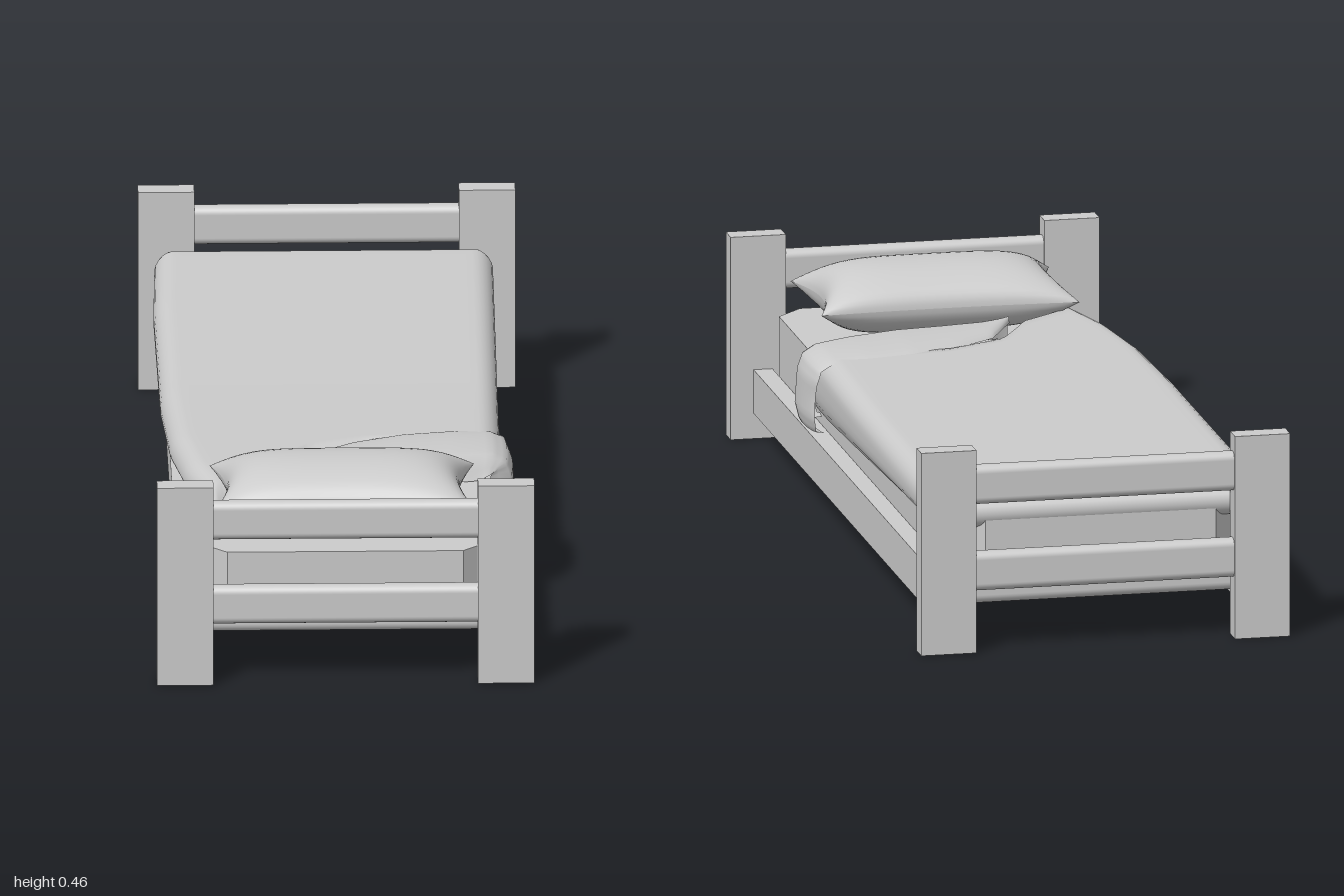
import * as THREE from 'three';
import { mergeGeometries } from 'three/addons/utils/BufferGeometryUtils.js';
import { RoundedBoxGeometry } from 'three/addons/geometries/RoundedBoxGeometry.js';

const wood = new THREE.MeshStandardMaterial({ color: 0xcccccc });
const cloth = new THREE.MeshStandardMaterial({ color: 0xcccccc, side: THREE.DoubleSide });
const { lerp, clamp, smoothstep } = THREE.MathUtils;

// Piecewise-linear lookup in [[key, value, ...], ...]; returns one column
function table(rows, t, col = 1) {
  let i = 0;
  while (i < rows.length - 2 && t > rows[i + 1][0]) i++;
  const [a, b] = [rows[i], rows[i + 1]];
  return lerp(a[col], b[col], clamp((t - a[0]) / (b[0] - a[0]), 0, 1));
}

// Smooth sheet from fn(u, v) -> [x, y, z], u running along +x and v along +z
function sheet(fn, nu, nv) {
  const pos = [], index = [];
  for (let j = 0; j <= nv; j++)
    for (let i = 0; i <= nu; i++) {
      pos.push(...fn(i / nu, j / nv));
      if (i < nu && j < nv) {
        const a = j * (nu + 1) + i, c = a + nu + 1;
        index.push(a, c, a + 1, a + 1, c, c + 1);
      }
    }
  const g = new THREE.BufferGeometry();
  g.setAttribute('position', new THREE.Float32BufferAttribute(pos, 3));
  g.setIndex(index);
  g.computeVertexNormals();
  return g;
}

// Mattress: slab with cut corners
function mattressGeometry() {
  const x = 0.317, z = 0.947, c = 0.06;
  const corners = [[x, z - c], [x - c, z], [c - x, z], [-x, z - c], [-x, c - z], [c - x, -z], [x - c, -z], [x, c - z]];
  const shape = new THREE.Shape(corners.map(p => new THREE.Vector2(...p)));
  return new THREE.ExtrudeGeometry(shape, { depth: 0.158, bevelEnabled: false })
    .rotateX(-Math.PI / 2).translate(0, 0.13, 0);
}

// Blanket: [z, half width, hem height] for each side, and the front edge across
const LEFT = [[-0.95, 0.362, 0.255], [0.3, 0.35, 0.18], [0.5, 0.35, 0.18]];
const RIGHT = [[-0.95, 0.375, 0.25], [-0.6, 0.385, 0.25], [0, 0.383, 0.255], [0.3, 0.368, 0.268], [0.5, 0.34, 0.28], [0.73, 0.28, 0.29]];
const FRONT = [[-1, 0.73], [-0.7, 0.72], [-0.32, 0.6], [-0.15, 0.46], [0.1, 0.4], [0.5, 0.38], [1, 0.42]];

function blanketPoint(u, v) {
  const q = u * 2 - 1, a = Math.abs(q), side = q < 0 ? RIGHT : LEFT;
  // rounded lip at the foot, then straight rows to the front edge
  const lip = Math.min(v / 0.2, 1), th = lip * Math.PI;
  let z = -0.91 - 0.04 * Math.sin(th);
  if (v > 0.2) z = lerp(-0.91, table(FRONT, q), (v - 0.2) / 0.8);
  const w = table(side, z, 1) - 0.03 * Math.sin(th) ** 2;
  const hem = table(side, z, 2);
  const top = 0.33 + 0.01 * smoothstep(z, -0.1, 0.6);
  const r = Math.min(0.045, top - hem);
  // across: flat top, rounded shoulder, hanging side curling in at the hem
  let x, y;
  if (a < 0.6) { x = (w - r) * a / 0.6; y = top; }
  else if (a < 0.82) {
    const t = (a - 0.6) / 0.22 * Math.PI / 2;
    x = w - r + r * Math.sin(t); y = top - r + r * Math.cos(t);
  } else {
    const t = (a - 0.82) / 0.18;
    x = w - 0.035 * t ** 4; y = lerp(top - r, hem, t);
  }
  y = Math.min(y, lip < 1 ? 0.295 - 0.035 * Math.cos(th) : 1);
  if (v > 0.97) y = Math.min(y, lerp(top, 0.286, (v - 0.97) / 0.03));
  return [x * Math.sign(q), y, z];
}

// Turned-down flap: [along, x, y, back z, front z]
const FLAP = [
  [0, -0.125, 0.335, 0.56, 0.58], [0.12, -0.06, 0.336, 0.43, 0.572], [0.25, 0.03, 0.338, 0.36, 0.56],
  [0.4, 0.14, 0.34, 0.315, 0.545], [0.55, 0.25, 0.338, 0.29, 0.515], [0.66, 0.33, 0.333, 0.28, 0.488],
  [0.72, 0.36, 0.318, 0.277, 0.48], [0.78, 0.37, 0.29, 0.275, 0.48], [0.9, 0.375, 0.21, 0.285, 0.482],
  [0.96, 0.368, 0.178, 0.29, 0.47], [1, 0.345, 0.172, 0.3, 0.46],
];
function flapPoint(u, v) {
  const [x, y, back, front] = [1, 2, 3, 4].map(c => table(FLAP, u, c));
  const hang = smoothstep(u, 0.6, 0.8), puff = 0.012 * Math.sin(Math.PI * v) ** 0.6;
  const rim = smoothstep(v, 0.85, 1) * 0.04;
  const wave = 0.005 * Math.sin(u * 40) * (1 - v) * hang;
  return [x + (puff - rim) * hang - 0.005 * hang, y + (puff - 0.004 - rim) * (1 - hang), lerp(back, front, v) + wave];
}

// Pillow: two domed sheets with drawn-out corners, meeting at a seam
function pillowHalf(sign) {
  return sheet((u, v) => {
    const a = sign * Math.sin((u - 0.5) * Math.PI), b = Math.sin((v - 0.5) * Math.PI);
    const x = 0.288 * a * (1 - 0.12 * (1 - b * b) * a * a);
    const z = 0.158 * b * (1 - 0.07 * (1 - a * a) * b * b);
    const h = 0.078 * Math.sqrt(Math.max(0, (1 - a ** 4) * (1 - b * b)));
    return [x, 0.362 + sign * h, 0.745 + z];
  }, 32, 24);
}

export function createModel() {
  const group = new THREE.Group();
  const add = (name, geometry, x = 0, y = 0, z = 0, material = wood) => {
    const mesh = new THREE.Mesh(geometry, material);
    mesh.name = name;
    mesh.position.set(x, y, z);
    group.add(mesh);
  };

  // Posts and rounded rails of both ends
  for (const end of [1, -1]) {
    const label = end > 0 ? 'head' : 'foot';
    for (const s of [1, -1])
      add(label + 'Post', new THREE.BoxGeometry(0.123, 0.455, 0.05), s * 0.3495, 0.2275, end * 0.975);
    for (const [name, y] of [['UpperRail', 0.373], ['LowerRail', 0.179]])
      add(label + name, new RoundedBoxGeometry(0.62, 0.087, 0.04, 4, 0.017), 0, y, end * 0.974);
  }

  // Side rails
  for (const s of [1, -1])
    add('sideRail', new THREE.BoxGeometry(0.042, 0.098, 1.9), s * 0.339, 0.106, 0);

  // Slats under the mattress
  for (let i = -2; i <= 2; i++)
    add('slat', new RoundedBoxGeometry(0.66, 0.055, 0.085, 4, 0.02), 0, 0.103, i * 0.415);

  add('mattress', mattressGeometry());
  add('blanket', sheet(blanketPoint, 60, 60), 0, 0, 0, cloth);
  add('blanketFlap', sheet(flapPoint, 50, 16), 0, 0, 0, cloth);
  add('pillow', mergeGeometries([pillowHalf(1), pillowHalf(-1)]), 0, 0, 0, cloth);
  return group;
}
